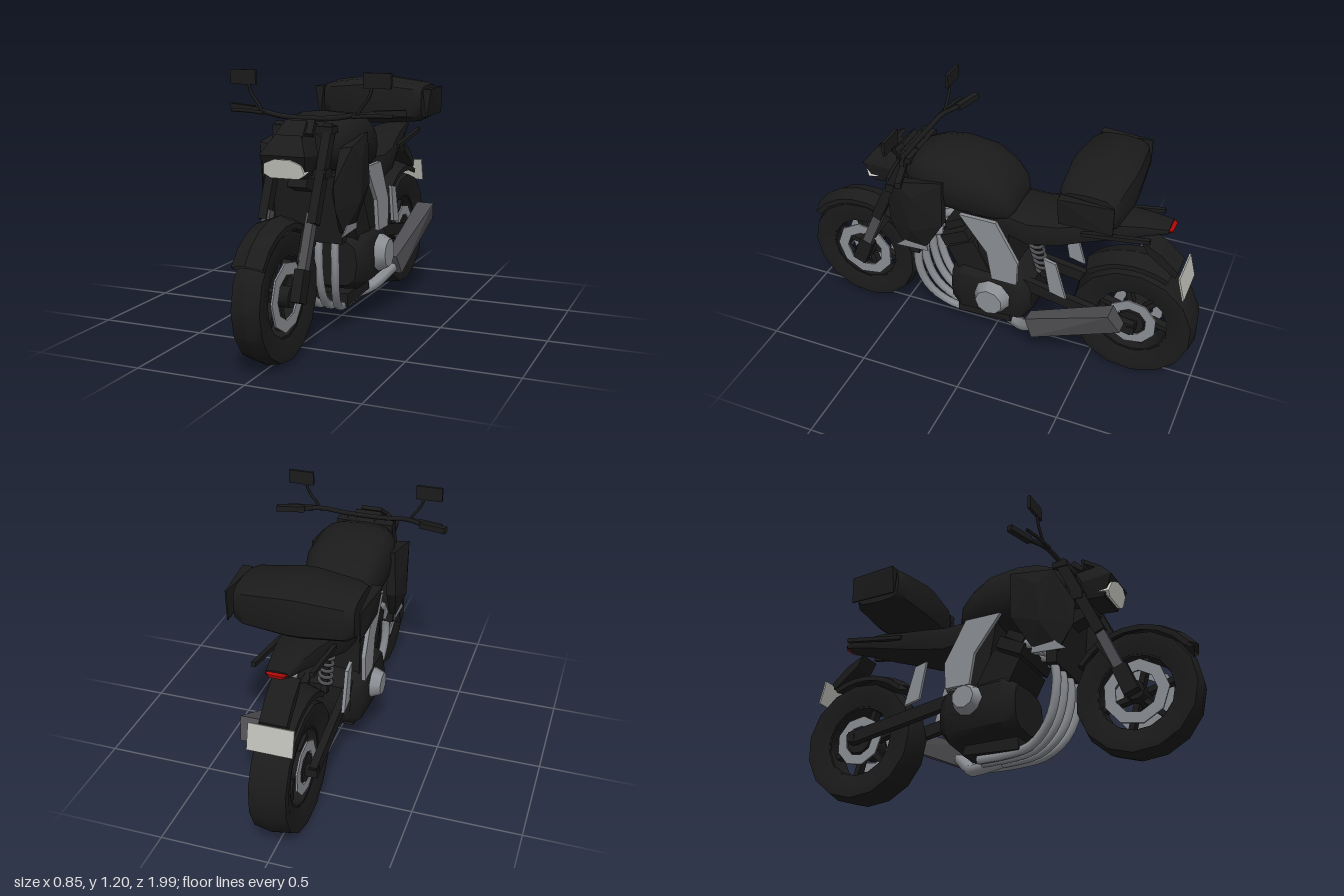
import * as THREE from 'three';
import { toCreasedNormals } from 'three/addons/utils/BufferGeometryUtils.js';
import { ConvexGeometry } from 'three/addons/geometries/ConvexGeometry.js';

const V = (p) => new THREE.Vector3(...p);
const SIDES = [1, -1];

export function createModel() {
  const model = new THREE.Group();
  const paint = (name, color, extra = {}) => new THREE.MeshStandardMaterial({ name, color, ...extra });
  const black = paint('black', 0x1b1b1b, { side: THREE.DoubleSide });
  const grey = paint('metal grey', 0x8b8e93);
  const darkGrey = paint('dark grey', 0x4d4d51);
  const lampWhite = paint('lamp white', 0xdcdcd4);
  const plateWhite = paint('plate white', 0xbdbdb6);
  const red = paint('red', 0xb00808);

  const add = (name, geo, mat, parent = model) => {
    const mesh = new THREE.Mesh(geo, mat);
    mesh.name = name;
    parent.add(mesh);
    return mesh;
  };
  // Convex solid around a few corners; s mirrors x
  const hull = (name, pts, mat, s = 1) =>
    add(name, new ConvexGeometry(pts.map(([x, y, z]) => new THREE.Vector3(x * s, y, z))), mat);
  // Corners given for +x only, repeated on -x
  const both = (pts) => pts.concat(pts.map(([x, y, z]) => [-x, y, z]));
  // Side outline of [z, y] points extruded between x0 and x1
  const slab = (name, outline, x0, x1, mat) => {
    const shape = new THREE.Shape(outline.map(([z, y]) => new THREE.Vector2(z, y)));
    const geo = new THREE.ExtrudeGeometry(shape, { depth: x1 - x0, bevelEnabled: false });
    return add(name, geo.rotateY(-Math.PI / 2).translate(x1, 0, 0), mat);
  };
  const beam = (name, a, b, w, h, mat, parent = model) => {
    const mesh = new THREE.Mesh(new THREE.BoxGeometry(w, h, V(a).distanceTo(V(b))), mat);
    mesh.name = name;
    mesh.position.copy(V(a).add(V(b)).multiplyScalar(0.5));
    mesh.lookAt(V(b));
    parent.add(mesh);
    return mesh;
  };
  const tube = (name, pts, r, mat, seg = 16) =>
    add(name, new THREE.TubeGeometry(new THREE.CatmullRomCurve3(pts.map(V)), seg, r, 6), mat);
  // Skin over rounded sections [z, yBottom, yTop, halfWidth], z rising
  const loft = (sections, n = 14, power = 0.65) => {
    const pos = [], idx = [];
    const soft = (v) => Math.sign(v) * Math.abs(v) ** power;
    for (const [z, y0, y1, w] of sections)
      for (let i = 0; i < n; i++) {
        const t = (i / n) * Math.PI * 2;
        pos.push(w * soft(Math.cos(t)), (y0 + y1) / 2 + ((y1 - y0) / 2) * soft(Math.sin(t)), z);
      }
    const last = (sections.length - 1) * n;
    for (let j = 0; j < last; j += n)
      for (let i = 0; i < n; i++) {
        const k = (i + 1) % n;
        idx.push(j + i, j + k, j + n + i, j + k, j + n + k, j + n + i);
      }
    for (let i = 1; i < n - 1; i++) idx.push(0, i + 1, i, last, last + i, last + i + 1);
    const geo = new THREE.BufferGeometry();
    geo.setAttribute('position', new THREE.Float32BufferAttribute(pos, 3));
    geo.setIndex(idx);
    return toCreasedNormals(geo, 0.75);
  };
  // Closed [radius, x] profile turned about the x axis; angle runs from +z up
  const turned = (profile, seg, from = 0, sweep = Math.PI * 2) => {
    const pts = [...profile, profile[0]].map(([r, x]) => new THREE.Vector2(r, x));
    return toCreasedNormals(new THREE.LatheGeometry(pts, seg, from, sweep).rotateZ(Math.PI / 2), 0.55);
  };
  const ring = (r0, r1, w) => [[r0, -w], [r1, -w], [r1, w], [r0, w]];

  // Wheels
  const wheel = (name, z, y, R, w, disc, hub) => {
    const g = new THREE.Group();
    g.name = name;
    g.position.set(0, y, z);
    model.add(g);
    add('tyre', turned([[0.18, -w * 0.75], [R * 0.85, -w], [R * 0.955, -w * 0.97], [R, 0],
      [R * 0.955, w * 0.97], [R * 0.85, w], [0.18, w * 0.75]], 15), black, g);
    add('rim', turned(ring(0.172, 0.19, w * 0.72), 15), black, g);
    add('hub', new THREE.CylinderGeometry(hub, hub, 0.15, 10).rotateZ(Math.PI / 2), black, g);
    for (const s of SIDES)
      add('brakeDisc', turned(ring(disc[0], disc[1], 0.004), 9).translate(s * w * 0.8, 0, 0), grey, g);
    for (let i = 0; i < 6; i++) {
      const a = (i / 6) * Math.PI * 2 + 0.25;
      beam('spoke', [0, 0, 0], [0, 0.178 * Math.sin(a), 0.178 * Math.cos(a)], 0.04, 0.026, black, g);
    }
  };
  wheel('frontWheel', 0.71, 0.293, 0.29, 0.066, [0.098, 0.152], 0.045);
  wheel('rearWheel', -0.698, 0.302, 0.302, 0.085, [0.075, 0.125], 0.065);

  // Fenders
  const fender = (name, z, y, r, w, a0, a1) => add(name, turned([[r - 0.03, -w], [r - 0.005, -w], [r + 0.02, 0],
    [r - 0.005, w], [r - 0.03, w], [r, 0]], 7, a0, a1 - a0).translate(0, y, z), black);
  fender('frontFender', 0.71, 0.293, 0.315, 0.07, 0.6, 2.55);
  fender('rearFender', -0.698, 0.302, 0.34, 0.08, 0.82, 2.05);

  // Fork, brakes and swingarm
  for (const s of SIDES) {
    beam('forkFoot', [s * 0.1, 0.27, 0.71], [s * 0.1, 0.4, 0.66], 0.045, 0.07, black);
    beam('forkSlider', [s * 0.102, 0.36, 0.675], [s * 0.102, 0.62, 0.565], 0.036, 0.045, darkGrey);
    beam('forkTube', [s * 0.115, 0.58, 0.585], [s * 0.115, 0.98, 0.405], 0.04, 0.05, black);
    beam('swingarm', [s * 0.1, 0.4, -0.16], [s * 0.11, 0.3, -0.72], 0.035, 0.06, black);
    beam('fenderStay', [s * 0.08, 0.42, 0.65], [s * 0.07, 0.56, 0.56], 0.015, 0.05, black);
  }
  beam('lowerClamp', [-0.14, 0.78, 0.48], [0.14, 0.78, 0.48], 0.07, 0.04, black);
  beam('upperClamp', [-0.14, 0.96, 0.41], [0.14, 0.96, 0.41], 0.07, 0.03, black);
  beam('steeringHead', [0, 0.7, 0.46], [0, 0.97, 0.36], 0.09, 0.09, black);
  for (const z of [-0.71]) beam('rearAxle', [-0.13, 0.3, z], [0.13, 0.3, z], 0.04, 0.04, black);

  // Headlight, cowl and instruments
  hull('headlightCase', both([[0.105, 0.87, 0.645], [0.1, 0.86, 0.5], [0.06, 0.95, 0.58], [0.07, 0.93, 0.46],
    [0.085, 0.77, 0.6], [0.08, 0.78, 0.47], [0.1, 0.855, 0.61]]), black);
  hull('headlight', both([[0.095, 0.79, 0.625], [0.085, 0.835, 0.642], [0.035, 0.856, 0.65], [0.065, 0.772, 0.62],
    [0.09, 0.8, 0.57], [0.04, 0.85, 0.57]]), lampWhite);
  hull('flyscreen', both([[0.065, 0.945, 0.58], [0.05, 1.005, 0.5], [0.065, 0.935, 0.565], [0.05, 0.99, 0.49]]), black);
  hull('instruments', both([[0.075, 0.95, 0.505], [0.065, 1.005, 0.45], [0.075, 0.935, 0.49], [0.065, 0.985, 0.435]]), black);

  // Handlebar, levers and mirrors
  tube('handlebar', [[-0.3, 1.025, 0.33], [-0.21, 1.02, 0.375], [-0.11, 1.005, 0.39], [0.11, 1.005, 0.39],
    [0.21, 1.02, 0.375], [0.3, 1.025, 0.33]], 0.012, black);
  for (const s of SIDES) {
    beam('grip', [s * 0.29, 1.025, 0.33], [s * 0.42, 1.03, 0.29], 0.028, 0.028, black);
    tube('lever', [[s * 0.21, 1.015, 0.39], [s * 0.28, 1.02, 0.38], [s * 0.385, 1.02, 0.36]], 0.008, black, 6);
    tube('mirrorStalk', [[s * 0.22, 1.01, 0.375], [s * 0.25, 1.06, 0.37], [s * 0.28, 1.1, 0.37], [s * 0.295, 1.15, 0.37]], 0.007, black, 8);
    const mirror = add('mirror', new THREE.BoxGeometry(0.125, 0.066, 0.014), black);
    mirror.position.set(s * 0.318, 1.17, 0.37);
  }

  // Tank, seat and side shrouds
  add('tank', loft([[-0.125, 0.77, 0.83, 0.1], [-0.1, 0.74, 0.89, 0.14], [-0.04, 0.73, 0.95, 0.165], [0.05, 0.73, 1.0, 0.185],
    [0.2, 0.74, 1.017, 0.19], [0.3, 0.76, 1.005, 0.18], [0.37, 0.79, 0.98, 0.15], [0.42, 0.83, 0.94, 0.1]], 16), black);
  add('seat', loft([[-0.82, 0.83, 0.86, 0.05], [-0.7, 0.79, 0.865, 0.075], [-0.57, 0.74, 0.86, 0.1], [-0.45, 0.7, 0.835, 0.12],
    [-0.34, 0.66, 0.815, 0.145], [-0.2, 0.63, 0.795, 0.15], [-0.1, 0.65, 0.8, 0.14], [0.02, 0.72, 0.8, 0.12]], 12, 0.6), black);
  hull('tailLight', both([[0.04, 0.855, -0.8], [0.04, 0.835, -0.8], [0.045, 0.85, -0.825], [0.03, 0.835, -0.835], [0.03, 0.85, -0.838]]), red);
  for (const s of SIDES) {
    beam('grabRail', [s * 0.12, 0.78, -0.45], [s * 0.125, 0.83, -0.76], 0.02, 0.02, black);
    hull('sideShroud', [[0.165, 0.73, 0.49], [0.17, 0.62, 0.48], [0.18, 0.51, 0.41], [0.19, 0.53, 0.29], [0.215, 0.7, 0.19],
      [0.205, 0.93, 0.19], [0.22, 0.89, 0.41], [0.235, 0.83, 0.33], [0.232, 0.64, 0.34],
      [0.15, 0.7, 0.47], [0.155, 0.51, 0.4], [0.16, 0.54, 0.29], [0.17, 0.7, 0.19], [0.17, 0.92, 0.19], [0.16, 0.88, 0.41]], black, s);
    hull('shroudTrim', [[0.19, 0.5, 0.45], [0.2, 0.63, 0.3], [0.19, 0.51, 0.28],
      [0.185, 0.5, 0.45], [0.195, 0.63, 0.3], [0.185, 0.51, 0.28]], grey, s);
    const x = s * 0.165;
    slab('framePanel', [[0.12, 0.76], [-0.06, 0.76], [-0.17, 0.56], [-0.165, 0.43], [-0.04, 0.43], [-0.015, 0.58]], x - 0.01, x + 0.01, grey);
    slab('footrestBracket', [[-0.285, 0.605], [-0.345, 0.59], [-0.4, 0.4], [-0.32, 0.42]], s * 0.14 - 0.008, s * 0.14 + 0.008, grey);
  }

  // Engine
  add('engineCase', loft([[-0.22, 0.23, 0.41, 0.12], [-0.17, 0.17, 0.45, 0.17], [0.12, 0.17, 0.46, 0.19], [0.18, 0.2, 0.42, 0.15]], 12, 0.55), black);
  beam('cylinders', [0, 0.4, 0.05], [0, 0.56, 0.135], 0.28, 0.15, black);
  beam('cylinderHead', [0, 0.57, 0.145], [0, 0.62, 0.17], 0.3, 0.14, black);
  beam('camCover', [0, 0.635, 0.16], [0, 0.67, 0.18], 0.24, 0.1, black);
  slab('airBox', [[0.08, 0.75], [-0.1, 0.75], [-0.12, 0.43], [0.02, 0.43]], -0.13, 0.13, black);
  slab('radiator', [[0.42, 0.76], [0.35, 0.76], [0.34, 0.46], [0.39, 0.455]], -0.165, 0.165, black);
  for (const [s, r] of [[1, 0.093], [-1, 0.075]]) {
    const cover = add('engineCover', new THREE.CylinderGeometry(r * 0.72, r, 0.05, 9).rotateZ(-s * Math.PI / 2), grey);
    cover.position.set(s * 0.203, s > 0 ? 0.325 : 0.35, -0.045);
  }
  slab('collectorBox', [[0.17, 0.165], [-0.1, 0.165], [-0.11, 0.12], [0.17, 0.105]], -0.1, 0.1, black);

  // Exhaust
  for (const x of [-0.12, -0.042, 0.042, 0.12])
    tube('headerPipe', [[x, 0.6, 0.22], [x, 0.57, 0.3], [x, 0.47, 0.362], [x, 0.33, 0.365], [x * 0.85, 0.2, 0.315],
      [x * 0.65, 0.12, 0.22], [x * 0.55, 0.1, 0.08], [x * 0.5, 0.1, -0.05]], 0.021, grey, 20);
  tube('tailPipe', [[0, 0.1, 0.05], [0.04, 0.1, -0.08], [0.1, 0.125, -0.17], [0.175, 0.215, -0.27]], 0.032, grey, 10);
  hull('silencer', [[0.145, 0.27, -0.23], [0.2, 0.26, -0.22], [0.215, 0.17, -0.26], [0.155, 0.17, -0.26],
    [0.165, 0.46, -0.635], [0.255, 0.46, -0.635], [0.235, 0.37, -0.69], [0.165, 0.37, -0.69]], darkGrey);

  // Rear shock with coil spring
  const coil = [];
  for (let i = 0; i <= 48; i++) {
    const t = i / 48, a = t * Math.PI * 12;
    coil.push([0.03 * Math.cos(a), 0.42 + 0.17 * t, -0.235 + 0.05 * t + 0.03 * Math.sin(a)]);
  }
  tube('shockSpring', coil, 0.009, darkGrey, 96);
  beam('shockRod', [0, 0.38, -0.245], [0, 0.66, -0.165], 0.03, 0.03, black);

  // Tail bracket and number plate
  slab('plateBracket', [[-0.71, 0.768], [-0.8, 0.72], [-0.885, 0.645], [-0.875, 0.61], [-0.74, 0.71]], -0.06, 0.06, black);
  beam('numberPlate', [0, 0.53, -0.93], [0, 0.645, -0.9], 0.2, 0.008, plateWhite);

  // Luggage case with end panels
  const luggage = add('topCase', loft([[-0.26, 0.925, 1.09, 0.12], [-0.22, 0.905, 1.105, 0.14], [-0.03, 0.89, 1.13, 0.158],
    [0.03, 0.89, 1.13, 0.158], [0.22, 0.905, 1.105, 0.14], [0.26, 0.925, 1.09, 0.12]], 12, 0.55).rotateY(Math.PI / 2), black);
  luggage.position.z = -0.508;
  for (const s of SIDES)
    hull('casePanel', [[0.265, 1.075, -0.395], [0.31, 1.075, -0.395], [0.283, 1.075, -0.635], [0.29, 1.075, -0.635],
      [0.283, 0.94, -0.395], [0.29, 0.94, -0.395], [0.283, 0.94, -0.635], [0.288, 0.94, -0.635]], black, s);

  return model;
}
